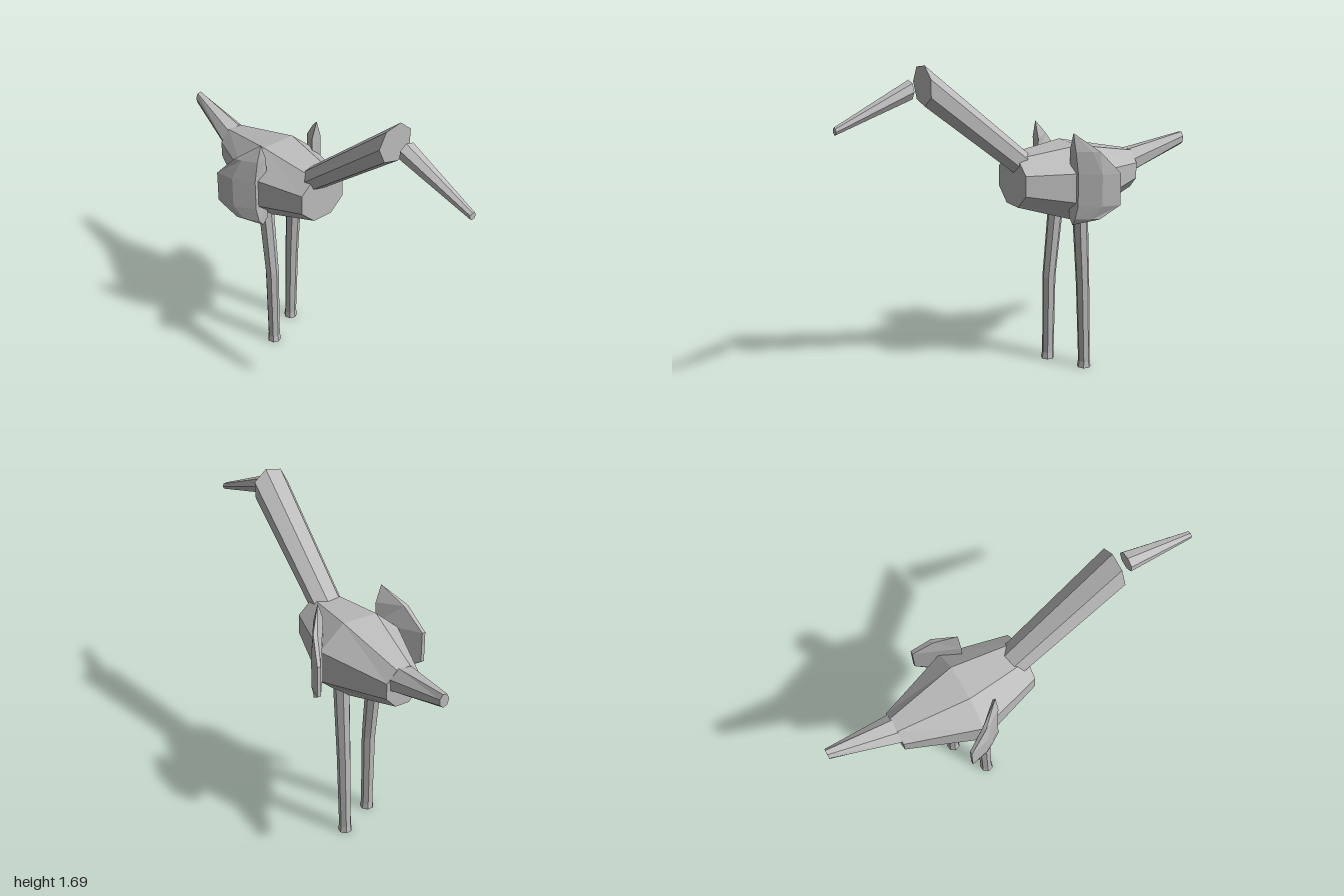
import * as THREE from 'three';

const grey = new THREE.MeshStandardMaterial({ color: 0xbcbcbc, flatShading: true });
grey.name = 'plain grey';

// Skin rings of points (counter-clockwise seen from the growing axis) and cap both ends
function loft(name, rings) {
  const n = rings[0].length, pos = rings.flat(2), idx = [];
  for (let r = 0; r < rings.length - 1; r++) {
    for (let i = 0; i < n; i++) {
      const a = r * n + i, b = r * n + (i + 1) % n;
      idx.push(a, b, b + n, a, b + n, a + n);
    }
  }
  const top = (rings.length - 1) * n;
  for (let i = 1; i < n - 1; i++) idx.push(0, i + 1, i, top, top + i, top + i + 1);
  const indexed = new THREE.BufferGeometry();
  indexed.setAttribute('position', new THREE.Float32BufferAttribute(pos, 3));
  indexed.setIndex(idx);
  const geo = indexed.toNonIndexed();
  geo.computeVertexNormals();
  const mesh = new THREE.Mesh(geo, grey);
  mesh.name = name;
  return mesh;
}

// Upright ring in the xy plane
function ringZ(n, turn, x, y, z, rx, ry = rx) {
  return Array.from({ length: n }, (_, i) => {
    const a = turn + i * 2 * Math.PI / n;
    return [x + rx * Math.cos(a), y + ry * Math.sin(a), z];
  });
}

// Level ring in the xz plane
function ringY(n, turn, x, y, z, r) {
  return Array.from({ length: n }, (_, i) => {
    const a = turn + i * 2 * Math.PI / n;
    return [x + r * Math.cos(a), y, z - r * Math.sin(a)];
  });
}

// Half-disc wing: each level lists front inner, front outer, middle, back outer, back inner
function wing(name, side) {
  const tip = Array(5).fill([0.18, -0.2]);
  const narrow = [[0.15, -0.2], [0.205, -0.2], [0.25, -0.27], [0.268, -0.305], [0.245, -0.305]];
  const wide = [[0.15, -0.2], [0.215, -0.21], [0.283, -0.31], [0.306, -0.405], [0.288, -0.405]];
  const levels = [[0.835, tip], [0.87, narrow], [0.94, wide], [1.105, wide], [1.22, narrow], [1.31, tip]];
  return loft(name, levels.map(([y, pts]) => {
    const ring = pts.map(([x, z]) => [side * x, y, z]);
    return side > 0 ? ring : ring.reverse();
  }));
}

// Leg with a slightly flared foot; path lists x, y, z, radius from the ground up
function leg(name, path) {
  return loft(name, path.map(([x, y, z, r]) => ringY(7, 0.3, x, y, z, r)));
}

export function createModel() {
  const model = new THREE.Group();
  model.name = 'wading bird';
  const e = Math.PI / 8, k = 1 / Math.cos(e);

  // Octagonal barrel body, back to front
  model.add(loft('body', [
    ringZ(8, e, 0, 1.04, -0.66, 0.09 * k, 0.1 * k),
    ringZ(8, e, 0, 1.02, -0.29, 0.222 * k, 0.2 * k),
    ringZ(8, e, 0.005, 1.06, 0.05, 0.133 * k, 0.126 * k),
  ]));

  // Tail, neck and beak
  model.add(loft('tail', [
    ringZ(7, 1.25, 0.023, 1.165, -1.0, 0.026, 0.036),
    ringZ(7, 1.25, 0, 1.075, -0.655, 0.08, 0.072),
  ]));
  model.add(loft('neck', [
    ringZ(7, 1.31, 0, 1.105, -0.05, 0.083, 0.08),
    ringZ(7, 1.31, 0.01, 1.592, 0.54, 0.1),
  ]));
  model.add(loft('beak', [
    ringZ(7, 1.75, 0.015, 1.577, 0.61, 0.052, 0.048),
    ringZ(7, 1.75, 0.037, 1.428, 1.0, 0.019),
  ]));

  model.add(wing('leftWing', 1), wing('rightWing', -1));

  // Left leg leans back, right leg bends forward
  model.add(leg('leftLeg', [
    [0.102, 0, -0.338, 0.037], [0.102, 0.035, -0.338, 0.032],
    [0.103, 0.47, -0.321, 0.036], [0.104, 0.9, -0.295, 0.042],
  ]));
  model.add(leg('rightLeg', [
    [-0.1, 0, -0.235, 0.037], [-0.1, 0.035, -0.237, 0.032],
    [-0.1, 0.47, -0.24, 0.036], [-0.1, 0.9, -0.283, 0.042],
  ]));
  return model;
}
